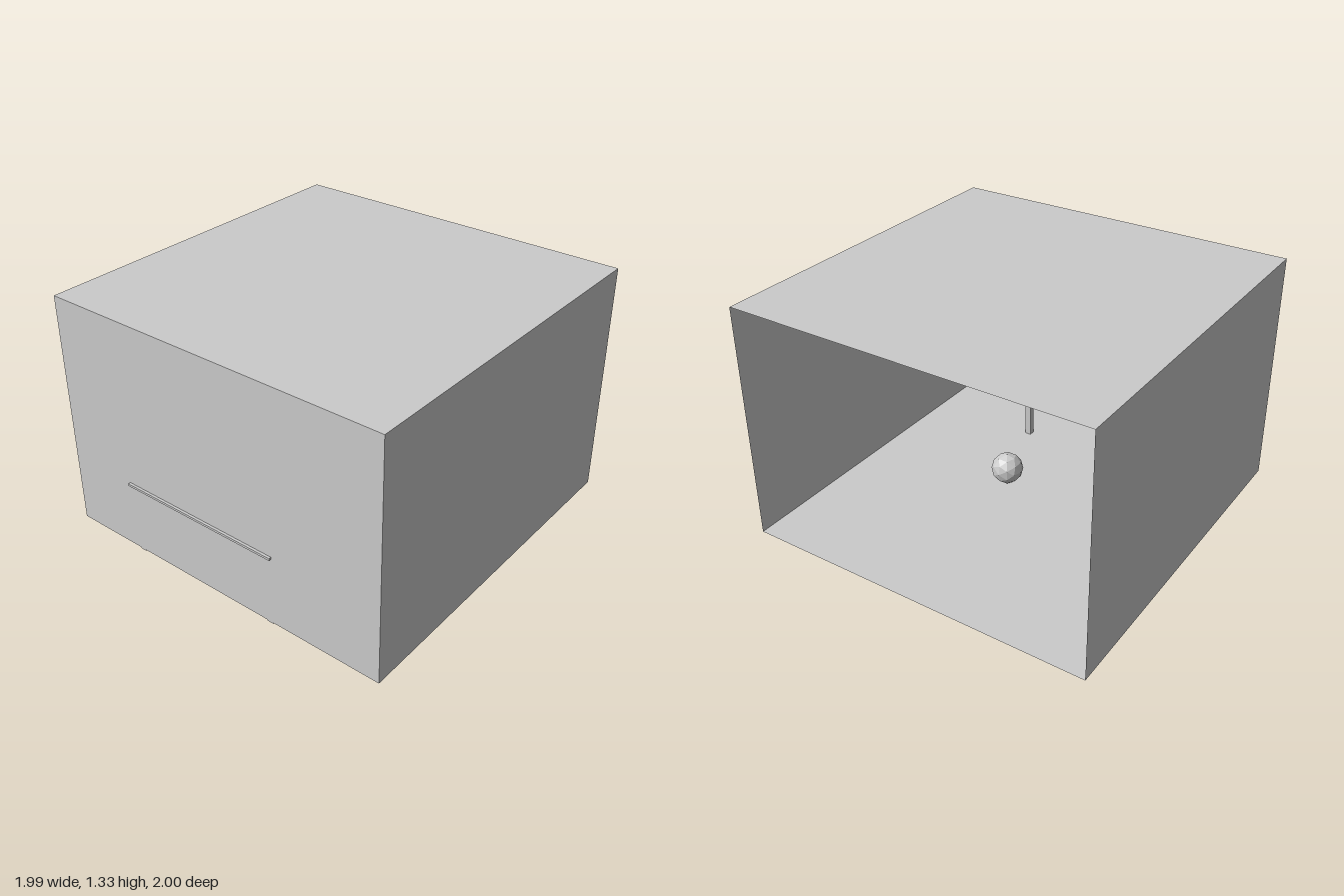
import * as THREE from 'three';

const material = new THREE.MeshStandardMaterial({ color: 0xcccccc, flatShading: true, side: THREE.DoubleSide });

function part(parent, name, geometry, x, y, z) {
  const mesh = new THREE.Mesh(geometry, material);
  mesh.name = name;
  mesh.position.set(x, y, z);
  parent.add(mesh);
  return mesh;
}

// Thin-walled room, open at the back
function createRoom() {
  const room = new THREE.Group();
  room.name = 'room';
  const x = 0.993, bottom = 0.01, top = 1.333, back = -1, front = 0.986;
  const height = top - bottom, depth = front - back;
  const midY = (top + bottom) / 2, midZ = (front + back) / 2;

  part(room, 'frontWall', new THREE.PlaneGeometry(2 * x, height), 0, midY, front);
  for (const [name, side] of [['leftWall', 1], ['rightWall', -1]]) {
    part(room, name, new THREE.PlaneGeometry(depth, height), side * x, midY, midZ).rotation.y = side * Math.PI / 2;
  }
  for (const [name, y, turn] of [['ceiling', top, -1], ['floor', bottom, 1]]) {
    part(room, name, new THREE.PlaneGeometry(2 * x, depth), 0, y, midZ).rotation.x = turn * Math.PI / 2;
  }
  return room;
}

// Table pushed slightly into the front wall, its feet just through the floor
function createTable() {
  const table = new THREE.Group();
  table.name = 'table';
  const topY = 0.412, thickness = 0.013;
  part(table, 'tableTop', new THREE.BoxGeometry(0.95, thickness, 0.41), -0.11, topY - thickness / 2, 0.795);
  const legHeight = topY - thickness;
  for (const x of [-0.545, 0.342]) {
    for (const z of [0.61, 0.966]) {
      part(table, 'tableLeg', new THREE.BoxGeometry(0.036, legHeight, 0.034), x, legHeight / 2, z);
    }
  }
  return table;
}

export function createModel() {
  const model = new THREE.Group();
  model.name = 'roomWithTable';
  model.add(createRoom(), createTable());
  // Faceted ball resting on the floor
  part(model, 'ball', new THREE.IcosahedronGeometry(0.09, 1), 0.166, 0.1, 0.106);
  return model;
}
